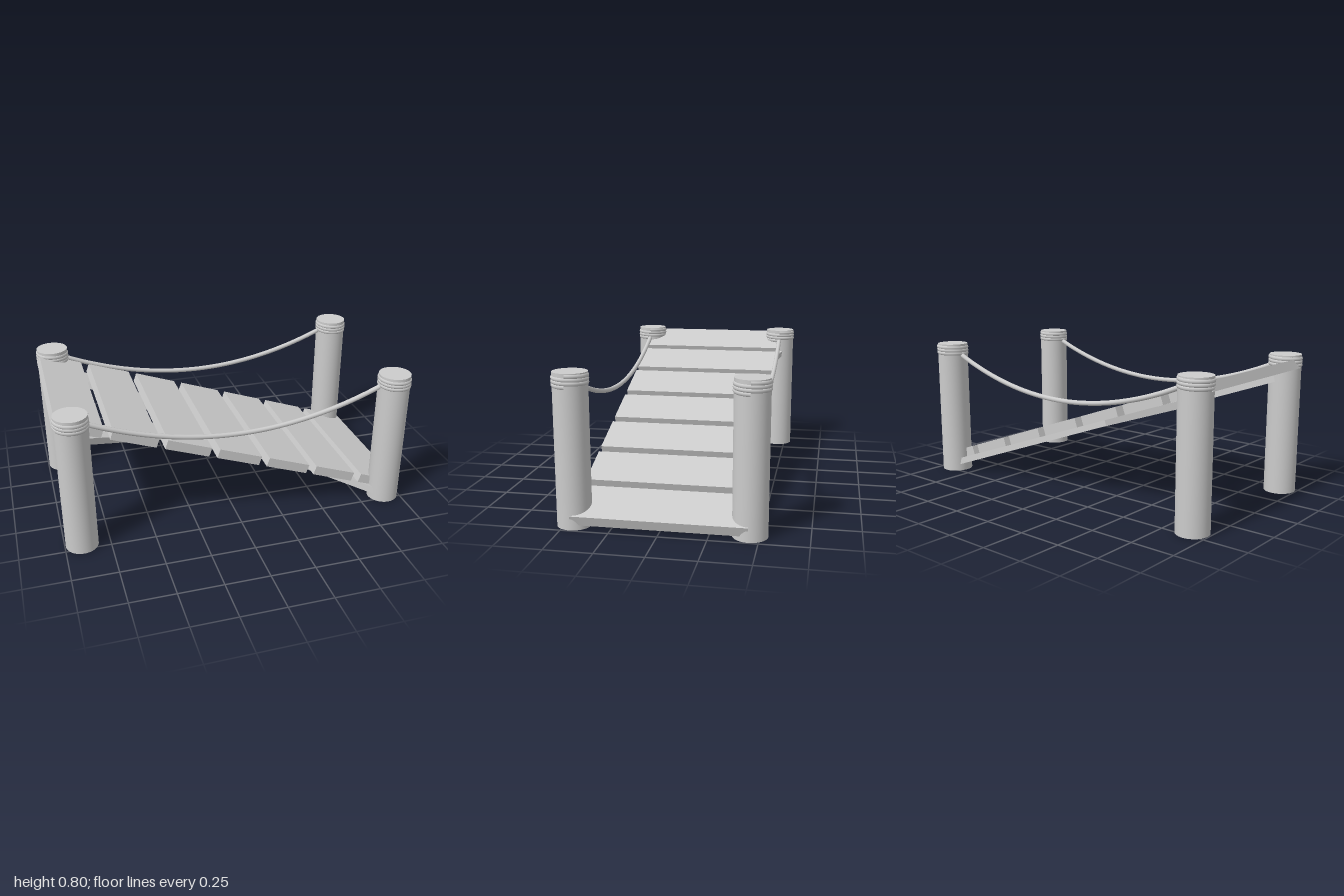
import * as THREE from 'three';

const POST_X = 0.905, POST_Z = 0.452, POST_R = 0.09, HEIGHT = 0.8;
const SLOPE = Math.atan(0.354);

export function createModel() {
  const model = new THREE.Group();
  model.name = 'slopedRopeBridge';
  const material = new THREE.MeshStandardMaterial({ color: 0xcccccc });

  const add = (parent, name, geometry, x = 0, y = 0, z = 0) => {
    const mesh = new THREE.Mesh(geometry, material);
    mesh.name = name;
    mesh.position.set(x, y, z);
    parent.add(mesh);
    return mesh;
  };

  // Rope lashing: three helical turns around a post top
  const turns = 3, lashingPoints = [];
  for (let i = 0; i <= turns * 24; i++) {
    const a = (i / 24) * Math.PI * 2;
    lashingPoints.push(new THREE.Vector3(
      0.082 * Math.cos(a), 0.732 + 0.054 * i / (turns * 24), 0.082 * Math.sin(a)));
  }
  const lashing = new THREE.TubeGeometry(
    new THREE.CatmullRomCurve3(lashingPoints), 150, 0.0135, 10);

  // Four posts with lashings
  const post = new THREE.CylinderGeometry(POST_R, POST_R, HEIGHT, 48);
  for (const sx of [-1, 1]) {
    for (const sz of [-1, 1]) {
      add(model, 'post', post, sx * POST_X, HEIGHT / 2, sz * POST_Z);
      add(model, 'ropeLashing', lashing, sx * POST_X, 0, sz * POST_Z);
    }
  }

  // Sagging hand ropes on both sides
  const sag = [];
  for (let i = -8; i <= 8; i++) {
    const x = i / 8 * 0.85;
    sag.push(new THREE.Vector3(x, 0.555 + 0.262 * x * x, 0));
  }
  const rope = new THREE.TubeGeometry(new THREE.CatmullRomCurve3(sag), 48, 0.0135, 12);
  for (const sz of [-1, 1]) add(model, 'handRope', rope, 0, 0, sz * POST_Z);

  // Inclined deck, descending towards +x
  const deck = new THREE.Group();
  deck.name = 'deck';
  deck.position.y = 0.402;
  deck.rotation.z = -SLOPE;
  model.add(deck);

  const thickness = 0.054;
  const plank = new THREE.BoxGeometry(0.258, thickness, 0.9);
  for (let i = -3; i <= 3; i++) add(deck, 'plank', plank, i * 0.29 / Math.cos(SLOPE));

  // Crossed braces below the planks, running from post to post
  const run = 2 * 0.9 / Math.cos(SLOPE), span = 0.9;
  const brace = new THREE.BoxGeometry(Math.hypot(run, span), 0.038, 0.13);
  for (const s of [-1, 1]) {
    const mesh = add(deck, 'crossBrace', brace, 0, -thickness / 2 - 0.019 + s * 0.0005);
    mesh.rotation.y = s * Math.atan2(span, run);
  }
  return model;
}
